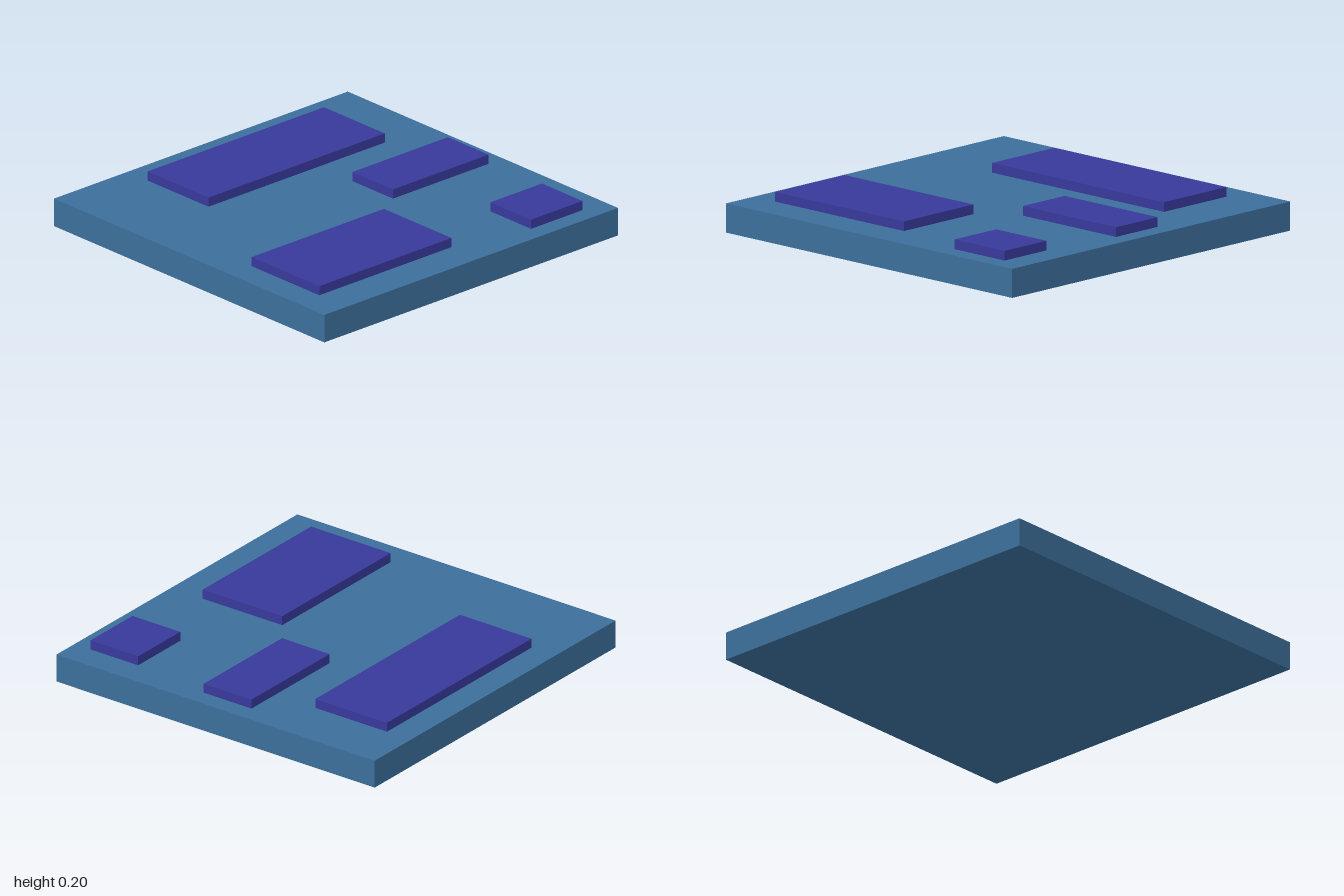
import * as THREE from 'three';

const BASE_HEIGHT = 0.15;
const PANEL_HEIGHT = 0.05;

export function createModel() {
  const model = new THREE.Group();
  model.name = 'slabWithRaisedPanels';

  const blue = new THREE.MeshStandardMaterial({ color: 0x3c6f9b });
  blue.name = 'steel blue';
  const indigo = new THREE.MeshStandardMaterial({ color: 0x38399b });
  indigo.name = 'indigo';

  // Box spanning x0..x1 and z0..z1, standing on height y
  function addBox(name, material, [x0, x1, z0, z1], y, height) {
    const mesh = new THREE.Mesh(new THREE.BoxGeometry(x1 - x0, height, z1 - z0), material);
    mesh.position.set((x0 + x1) / 2, y + height / 2, (z0 + z1) / 2);
    mesh.name = name;
    model.add(mesh);
  }

  // Square base slab
  addBox('baseSlab', blue, [-1, 1, -1, 1], 0, BASE_HEIGHT);

  // Raised rectangular panels on top of the slab
  const panels = {
    backPanel: [-0.5, 0.7, -0.85, -0.4],
    middleLeftPanel: [0.25, 0.9, -0.15, 0.15],
    frontRightPanel: [-0.85, 0.05, 0.3, 0.8],
    frontLeftPanel: [0.5, 0.85, 0.6, 0.9],
  };
  for (const [name, bounds] of Object.entries(panels)) {
    addBox(name, indigo, bounds, BASE_HEIGHT, PANEL_HEIGHT);
  }

  return model;
}
